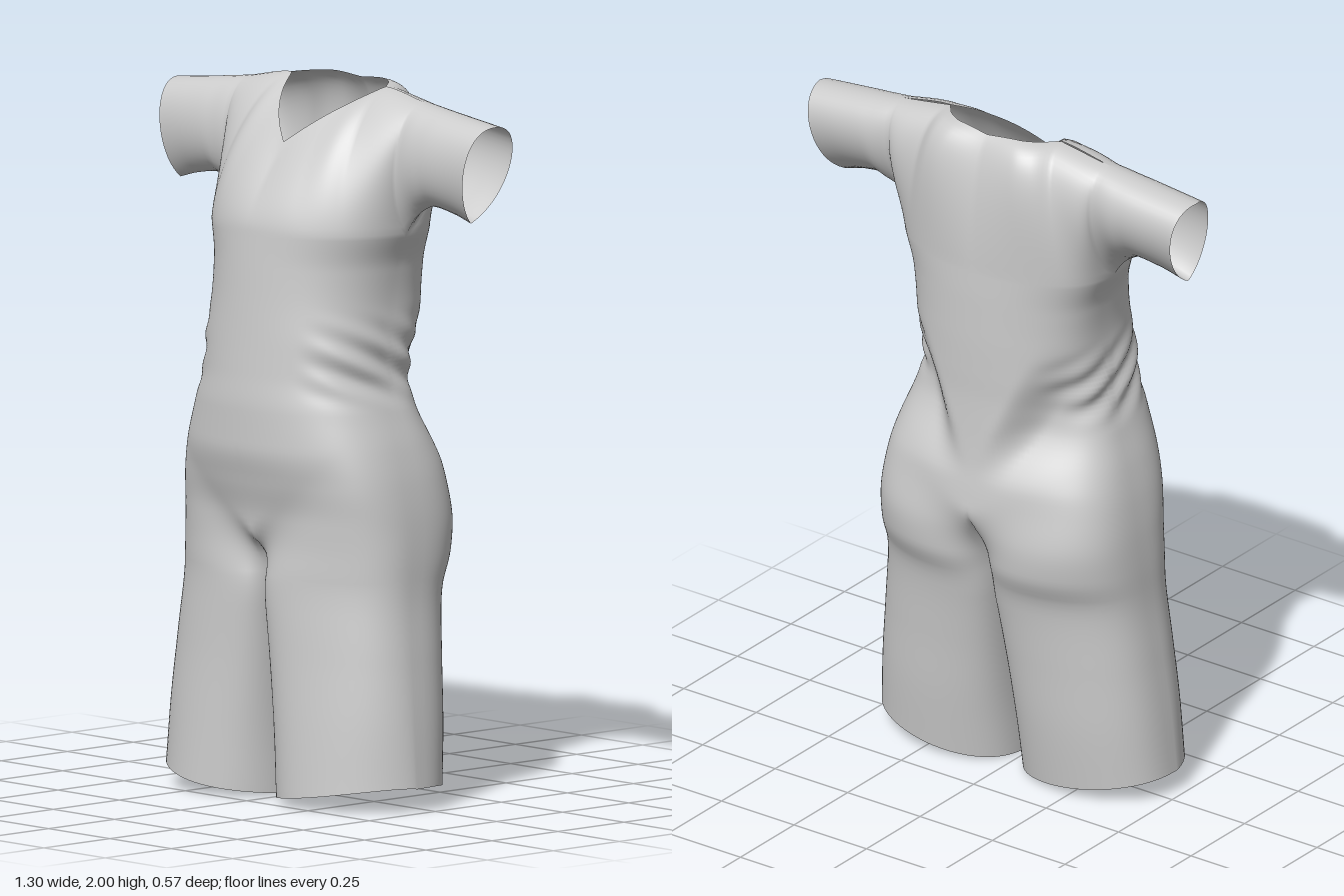
import * as THREE from 'three';
import { mergeVertices } from 'three/addons/utils/BufferGeometryUtils.js';

const { lerp, smoothstep } = THREE.MathUtils;

// Smooth, overshoot-free interpolation of rows [t, a, b, ...]
function at(keys, t) {
  const n = keys.length;
  t = Math.min(Math.max(t, keys[0][0]), keys[n - 1][0]);
  let i = 0;
  while (i < n - 2 && t > keys[i + 1][0]) i++;
  const h = keys[i + 1][0] - keys[i][0], s = (t - keys[i][0]) / h;
  return keys[0].slice(1).map((_, j) => {
    const sec = (k) => (keys[k + 1][j + 1] - keys[k][j + 1]) / (keys[k + 1][0] - keys[k][0]);
    const slope = (k) => {
      if (k === 0) return sec(0);
      if (k === n - 1) return sec(n - 2);
      const a = sec(k - 1), b = sec(k);
      return a * b > 0 ? (2 * a * b) / (a + b) : 0;
    };
    const p = keys[i][j + 1], q = keys[i + 1][j + 1];
    return p * (1 + 2 * s) * (1 - s) ** 2 + slope(i) * h * s * (1 - s) ** 2 +
      q * s * s * (3 - 2 * s) + slope(i + 1) * h * s * s * (s - 1);
  });
}

// Body by height: y, half width, front z, back z, side seam z
const BODY = [
  [0, 0.48, 0.26, -0.155, 0.05], [0.2, 0.465, 0.25, -0.18, 0.045],
  [0.4, 0.445, 0.24, -0.2, 0.035], [0.6, 0.422, 0.234, -0.23, 0.02],
  [0.7, 0.418, 0.23, -0.27, 0.01], [0.8, 0.41, 0.24, -0.285, 0],
  [0.9, 0.395, 0.265, -0.277, 0], [1.0, 0.37, 0.285, -0.265, 0],
  [1.1, 0.335, 0.285, -0.26, 0], [1.2, 0.303, 0.277, -0.258, 0],
  [1.28, 0.3, 0.27, -0.26, 0], [1.4, 0.294, 0.26, -0.262, -0.02],
  [1.5, 0.302, 0.252, -0.262, -0.035], [1.6, 0.335, 0.243, -0.26, -0.045],
];
// Roundness of the section by height: y, front, back (low is boxy)
const ROUND = [
  [0, 1.25, 0.72], [0.62, 0.85, 0.66], [1.0, 0.75, 0.64], [1.3, 0.82, 0.66], [1.6, 0.95, 0.74],
];
// Underarm line: x, y, z
const UNDERARM = [
  [0.335, 1.6, -0.045], [0.365, 1.642, -0.047], [0.4, 1.67, -0.05],
  [0.44, 1.686, -0.05], [0.52, 1.675, -0.05], [0.592, 1.655, -0.05],
];
// Neckline and shoulder line by column: column, x, y, z
const SHOULDER = [
  [0.19, 0.19, 1.99, -0.1], [0.335, 0.36, 1.962, -0.098],
  [0.42, 0.45, 1.95, -0.095], [0.592, 0.65, 1.927, -0.09],
];
const TOP_FRONT = [
  [0, 0, 1.835, 0.11], [0.05, 0.05, 1.876, 0.078], [0.1, 0.1, 1.917, 0.033],
  [0.15, 0.15, 1.957, -0.03], [0.185, 0.185, 1.986, -0.091], ...SHOULDER,
];
const TOP_BACK = [
  [0, 0, 1.988, -0.185], [0.1, 0.1, 1.996, -0.175], [0.15, 0.15, 1.994, -0.148],
  [0.185, 0.185, 1.991, -0.107], ...SHOULDER,
];
// Bezier handles of each column: column, lower dy dz, upper dy dz
const HANDLES_FRONT = [
  [0, 0.07, -0.006, -0.09, 0.06], [0.1, 0.1, -0.004, -0.07, 0.085],
  [0.19, 0.14, 0.01, -0.02, 0.12], [0.335, 0.12, 0.09, 0, 0.115],
  [0.42, 0.04, 0.095, 0, 0.12], [0.592, 0.07, 0.08, 0, 0.115],
];
const HANDLES_BACK = [
  [0, 0.15, 0, -0.06, -0.06], [0.19, 0.2, -0.03, 0, -0.12],
  [0.335, 0.12, -0.135, 0, -0.13], [0.42, 0.05, -0.15, 0, -0.135], [0.592, 0.07, -0.14, 0, -0.135],
];
const CHEST = 1.6, CROTCH = 0.62, ARMHOLE = 0.335;

// Point on the +x half of body or leg; theta runs from centre line to side seam
function bodyPoint(theta, y, front) {
  const [w, zf, zb, zc] = at(BODY, y);
  const p = at(ROUND, y)[front ? 0 : 1];
  const s = Math.sin(theta / 2), c = Math.max(0, Math.cos(theta / 2));
  // Trunk section turns into a closed leg section towards the crotch
  const legX = 1 - smoothstep(y, 0.55, 0.95);
  const legZ = 1 - smoothstep(y, CROTCH, lerp(front ? 0.75 : 0.86, 1.05, s));
  const inner = 0.016 * (1 - smoothstep(y, 0.1, CROTCH));
  const q = lerp(front ? 0.9 : 0.65, 0.3, Math.min(1, y / CROTCH)), m = q / (q + p);
  const legDepth = (s * s / m) ** (q / 2) * (c * c / (1 - m)) ** (p / 2);
  const depth = lerp(c ** p, legDepth, legZ);
  let x = lerp(w * s, inner + (w - inner) * s * s, legX);
  let z = zc + ((front ? zf : zb) - zc) * depth;
  // Hollow of the lower back either side of a V-shaped panel
  if (!front) {
    const v = Math.max(0, (y - 0.97) * 0.45);
    const band = smoothstep(y, 0.94, 1.14) * (1 - smoothstep(y, 1.18, 1.42));
    z += 0.075 * band * smoothstep(x, v, v + 0.12) * depth;
  }
  // Slanting creases gathered at the side of the waist
  const gather = smoothstep(y, 1.1, 1.22) * (1 - smoothstep(y, 1.24, 1.4)) * smoothstep(s, 0.55, 1);
  const crease = 0.008 * gather * Math.sin(y * 65 - z * 35);
  x += crease;
  z += crease * (front ? 0.6 : -0.6) * depth;
  // Slanted hem
  const hem = (0.065 * s ** 4 + (front ? 0.02 : 0.008) * Math.sin(theta)) * Math.max(0, 1 - y / 0.4);
  return [x, y + hem, z];
}

// Point on the +x half of yoke or sleeve: column, lower end, t from below to shoulder
function upperPoint(column, base, t, front) {
  const top = at(front ? TOP_FRONT : TOP_BACK, column);
  const h = at(front ? HANDLES_FRONT : HANDLES_BACK, column);
  const bez = (a, b, d, e) => a * (1 - t) ** 3 + 3 * b * t * (1 - t) ** 2 + 3 * d * t * t * (1 - t) + e * t ** 3;
  return [
    lerp(base[0], top[0], t),
    bez(base[1], base[1] + h[0], top[1] + h[2], top[1]),
    bez(base[2], base[2] + h[1], top[2] + h[3], top[2]),
  ];
}

export function createModel() {
  const positions = [], index = [], ranges = {};

  // Front and back grids of one named part on one side of the body
  function part(name, sx, nu, nv, fn) {
    const start = index.length;
    for (const front of [true, false]) {
      const base = positions.length / 3;
      for (let j = 0; j <= nv; j++) {
        for (let i = 0; i <= nu; i++) {
          const [x, y, z] = fn(i / nu, j / nv, front);
          positions.push(x * sx, y, z);
        }
      }
      const flip = (sx > 0) !== front;
      for (let j = 0; j < nv; j++) {
        for (let i = 0; i < nu; i++) {
          const a = base + j * (nu + 1) + i, b = a + 1, c = a + nu + 1, d = c + 1;
          index.push(...(flip ? [a, c, b, b, c, d] : [a, b, c, b, d, c]));
        }
      }
    }
    ranges[name] = [start, index.length];
  }

  const NU = 40;
  for (const [side, sx] of [['left', 1], ['right', -1]]) {
    const body = (y0, y1) => (u, v, front) => bodyPoint(u * Math.PI, lerp(y0, y1, v), front);
    part(side + 'Leg', sx, NU, 24, body(0, CROTCH));
    part(side + 'Hip', sx, NU, 28, body(CROTCH, 1.1));
    part(side + 'Bodice', sx, NU, 40, body(1.1, CHEST));
    // Columns fan out evenly along the shoulder so the armhole stays smooth
    part(side + 'Yoke', sx, NU, 20, (u, v, front) =>
      upperPoint(ARMHOLE * u, bodyPoint(u * Math.PI, CHEST, front), v, front));
    part(side + 'Sleeve', sx, 18, 20, (u, v, front) => {
      const column = lerp(ARMHOLE, 0.592, u);
      return upperPoint(column, [column, ...at(UNDERARM, column)], v, front);
    });
  }

  // Weld all panels so shading runs smoothly from part to part
  let cloth = new THREE.BufferGeometry();
  cloth.setAttribute('position', new THREE.Float32BufferAttribute(positions, 3));
  cloth.setIndex(index);
  cloth = mergeVertices(cloth, 1e-4);
  cloth.computeVertexNormals();

  const material = new THREE.MeshStandardMaterial({ color: 0xcccccc, side: THREE.DoubleSide });
  const group = new THREE.Group();
  group.name = 'romper';
  for (const [name, [from, to]] of Object.entries(ranges)) {
    const geometry = new THREE.BufferGeometry();
    geometry.setAttribute('position', cloth.attributes.position);
    geometry.setAttribute('normal', cloth.attributes.normal);
    geometry.setIndex(Array.from(cloth.index.array.slice(from, to)));
    const mesh = new THREE.Mesh(geometry, material);
    mesh.name = name;
    group.add(mesh);
  }
  return group;
}
